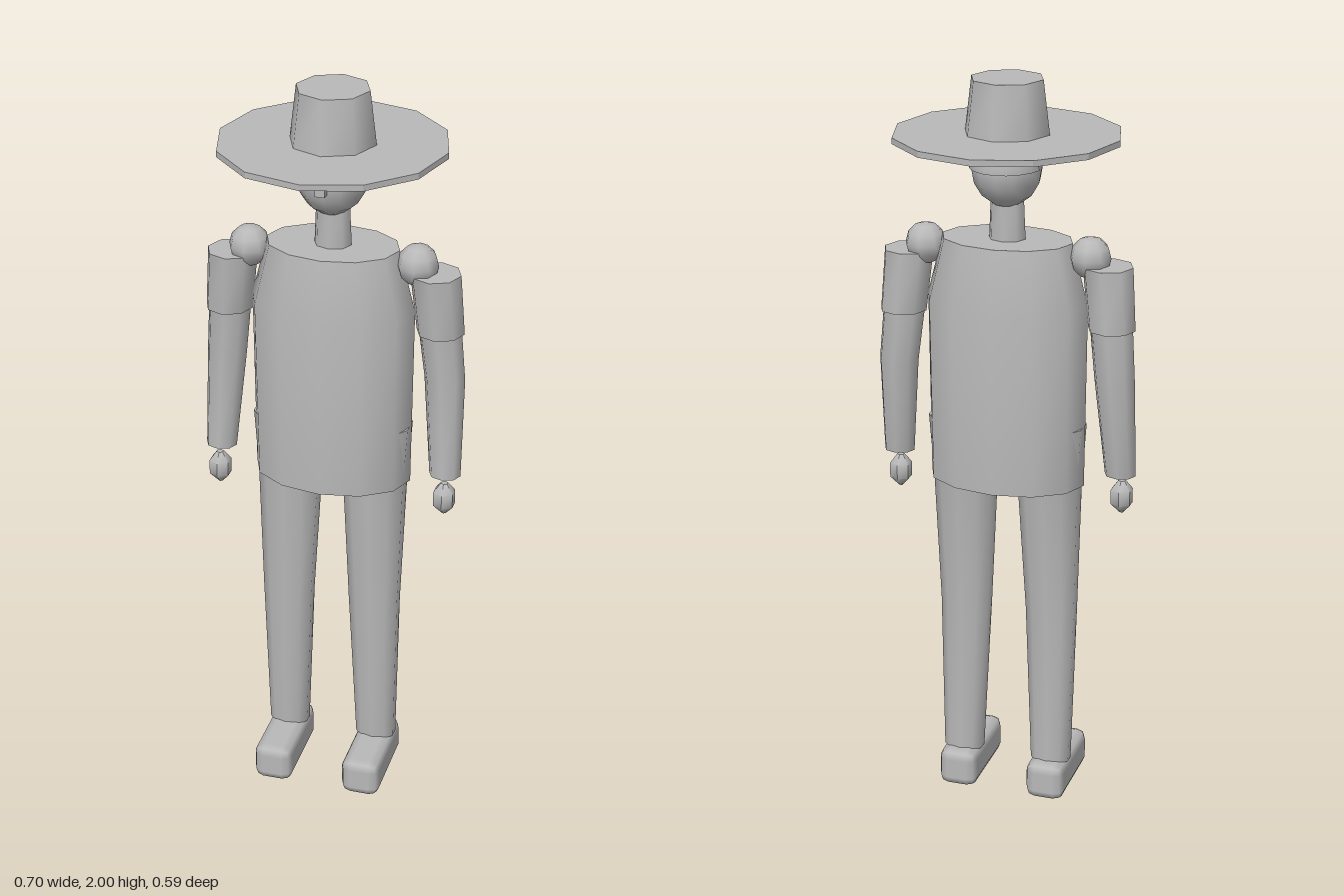
import * as THREE from 'three';
import { toCreasedNormals } from 'three/addons/utils/BufferGeometryUtils.js';
import { RoundedBoxGeometry } from 'three/addons/geometries/RoundedBoxGeometry.js';

// Capped solid through horizontal elliptical rings [x, y, z, rx, rz], listed bottom to top
function loft(rings, sides, crease = 0.9) {
  const pos = [], idx = [];
  for (const [x, y, z, rx, rz] of rings) {
    for (let j = 0; j < sides; j++) {
      const a = (j / sides) * Math.PI * 2;
      pos.push(x + Math.sin(a) * rx, y, z + Math.cos(a) * rz);
    }
  }
  const n = rings.length, bottom = n * sides, top = bottom + 1;
  pos.push(...rings[0].slice(0, 3), ...rings[n - 1].slice(0, 3));
  for (let j = 0; j < sides; j++) {
    const k = (j + 1) % sides;
    for (let i = 0; i < n - 1; i++) {
      const a = i * sides + j, b = i * sides + k;
      idx.push(a, b, b + sides, a, b + sides, a + sides);
    }
    idx.push(bottom, k, j, top, (n - 1) * sides + j, (n - 1) * sides + k);
  }
  const g = new THREE.BufferGeometry();
  g.setAttribute('position', new THREE.Float32BufferAttribute(pos, 3));
  g.setIndex(idx);
  return toCreasedNormals(g, crease);
}

export function createModel() {
  const model = new THREE.Group();
  model.name = 'figure';
  const grey = new THREE.MeshStandardMaterial({ color: 0xb8b8b8, side: THREE.DoubleSide });
  grey.name = 'plain grey';

  const add = (name, geometry, x = 0, y = 0, z = 0) => {
    const mesh = new THREE.Mesh(geometry, grey);
    mesh.name = name;
    mesh.position.set(x, y, z);
    model.add(mesh);
    return mesh;
  };

  // Coat and neck
  add('torso', loft([
    [0, 0.925, 0, 0.212, 0.138],
    [0, 1.42, 0, 0.217, 0.147],
    [0, 1.585, 0, 0.175, 0.118],
  ], 12));
  add('neck', loft([[0, 1.56, 0, 0.05, 0.042], [0, 1.7, 0, 0.044, 0.04]], 8));

  // Head, hair and face
  add('head', new THREE.SphereGeometry(0.105, 12, 8), 0, 1.775, 0).scale.x = 0.87;
  add('hair', new THREE.SphereGeometry(0.11, 8, 4, Math.PI * 1.08, Math.PI * 0.84, 0, Math.PI / 2),
    0, 1.775, 0).scale.x = 0.88;
  add('nose', new THREE.BoxGeometry(0.026, 0.036, 0.03), 0, 1.775, 0.105);
  for (const s of [-1, 1]) {
    add(s > 0 ? 'leftEye' : 'rightEye', new THREE.BoxGeometry(0.026, 0.012, 0.008), s * 0.037, 1.81, 0.092);
  }

  // Hat
  add('hatBrim', toCreasedNormals(new THREE.CylinderGeometry(0.295, 0.295, 0.016, 12), 0.4), 0, 1.853, 0);
  add('hatCrown', toCreasedNormals(new THREE.CylinderGeometry(0.095, 0.113, 0.145, 8), 0.9), 0, 1.9275, 0);

  // Limbs, mirrored across x
  for (const s of [-1, 1]) {
    const side = s > 0 ? 'left' : 'right';
    add(side + 'Leg', loft([
      [s * 0.126, 0.1, 0.002, 0.056, 0.045],
      [s * 0.121, 0.55, 0.014, 0.071, 0.054],
      [s * 0.117, 0.92, 0.003, 0.086, 0.078],
      [s * 0.125, 1.09, 0, 0.089, 0.09],
    ], 10));
    add(side + 'Shoe', new RoundedBoxGeometry(0.108, 0.108, 0.26, 1, 0.027), s * 0.126, 0.054, 0.055);

    add(side + 'Shoulder', new THREE.SphereGeometry(0.055, 8, 6), s * 0.222, 1.553, 0);
    add(side + 'Sleeve', loft([
      [s * 0.283, 1.37, -0.008, 0.063, 0.063],
      [s * 0.268, 1.535, 0, 0.067, 0.067],
    ], 8));
    add(side + 'Arm', loft([
      [s * 0.308, 0.965, 0.01, 0.042, 0.036],
      [s * 0.295, 1.235, -0.016, 0.054, 0.049],
      [s * 0.27, 1.5, 0, 0.06, 0.058],
    ], 8));
    add(side + 'Hand', loft([
      [0, -0.045, 0, 0.006, 0.006],
      [0, -0.02, 0, 0.03, 0.03],
      [0, 0.02, 0, 0.03, 0.03],
      [0, 0.045, 0, 0.01, 0.01],
    ], 6), s * 0.31, 0.9, 0.021);
  }
  return model;
}
